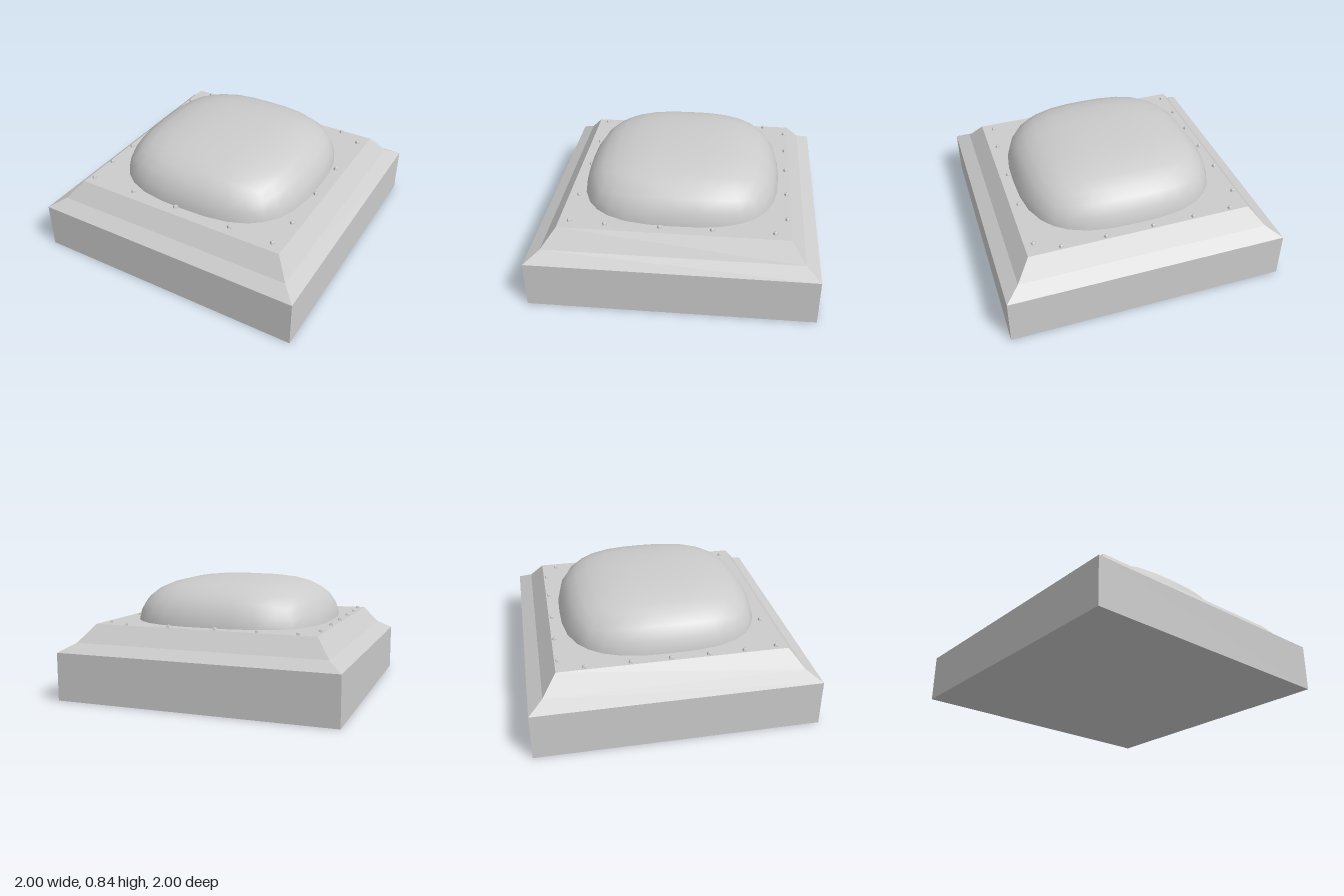
import * as THREE from 'three';
import { mergeVertices } from 'three/addons/utils/BufferGeometryUtils.js';

const smooth = new THREE.MeshStandardMaterial({ color: 0xcccccc });
const flat = new THREE.MeshStandardMaterial({ color: 0xcccccc, flatShading: true });
const TOP = 0.525;

function add(group, name, geometry, material) {
  const mesh = new THREE.Mesh(geometry, material);
  mesh.name = name;
  group.add(mesh);
  return mesh;
}

// Square plinth with a two-step sloped shoulder: a four-sided lathe
function plinthGeometry() {
  const profile = [[0, 0], [1, 0], [1, 0.34], [0.9, 0.4], [0.8, TOP], [0, TOP]]
    .map(([r, y]) => new THREE.Vector2(r * Math.SQRT2, y));
  const g = new THREE.LatheGeometry(profile, 4).rotateY(Math.PI / 4).toNonIndexed();
  g.computeVertexNormals();
  return g;
}

// Cushion-shaped dome: a gridded cube inflated to a superellipsoid
function domeGeometry() {
  const n = 2.9, half = 0.72, height = 0.42, centreY = 0.42;
  let g = new THREE.BoxGeometry(2, 2, 2, 8, 8, 8);
  g.deleteAttribute('uv');
  g.deleteAttribute('normal');
  g = mergeVertices(g);
  const p = g.attributes.position;
  const v = new THREE.Vector3();
  for (let i = 0; i < p.count; i++) {
    v.fromBufferAttribute(p, i);
    const norm = (Math.abs(v.x) ** n + Math.abs(v.y) ** n + Math.abs(v.z) ** n) ** (1 / n);
    v.divideScalar(norm);
    // the underside stays flat, hidden inside the plinth
    p.setXYZ(i, v.x * half, Math.max(centreY + v.y * height, 0.36), v.z * half);
  }
  g.computeVertexNormals();
  return g;
}

export function createModel() {
  const model = new THREE.Group();
  model.name = 'domedSkylight';
  add(model, 'plinth', plinthGeometry(), flat);
  add(model, 'dome', domeGeometry(), smooth);

  // Rivets, unevenly spaced along each side of the rim
  const rivets = new THREE.Group();
  rivets.name = 'rivets';
  model.add(rivets);
  const rivet = new THREE.SphereGeometry(0.02, 5, 4).rotateY(Math.PI / 2);
  const place = (x, z) => add(rivets, 'rivet', rivet, flat).position.set(x, TOP, z);
  [-0.67, -0.39, -0.09, 0.25, 0.565].forEach((x) => place(x, -0.775));
  [-0.76, -0.405, -0.045, 0.39, 0.715].forEach((x) => place(x, 0.725));
  [-0.605, -0.295, -0.02, 0.245, 0.495].forEach((z) => place(-0.775, z));
  [-0.69, -0.265, 0.095, 0.475].forEach((z) => place(0.735, z));
  return model;
}
